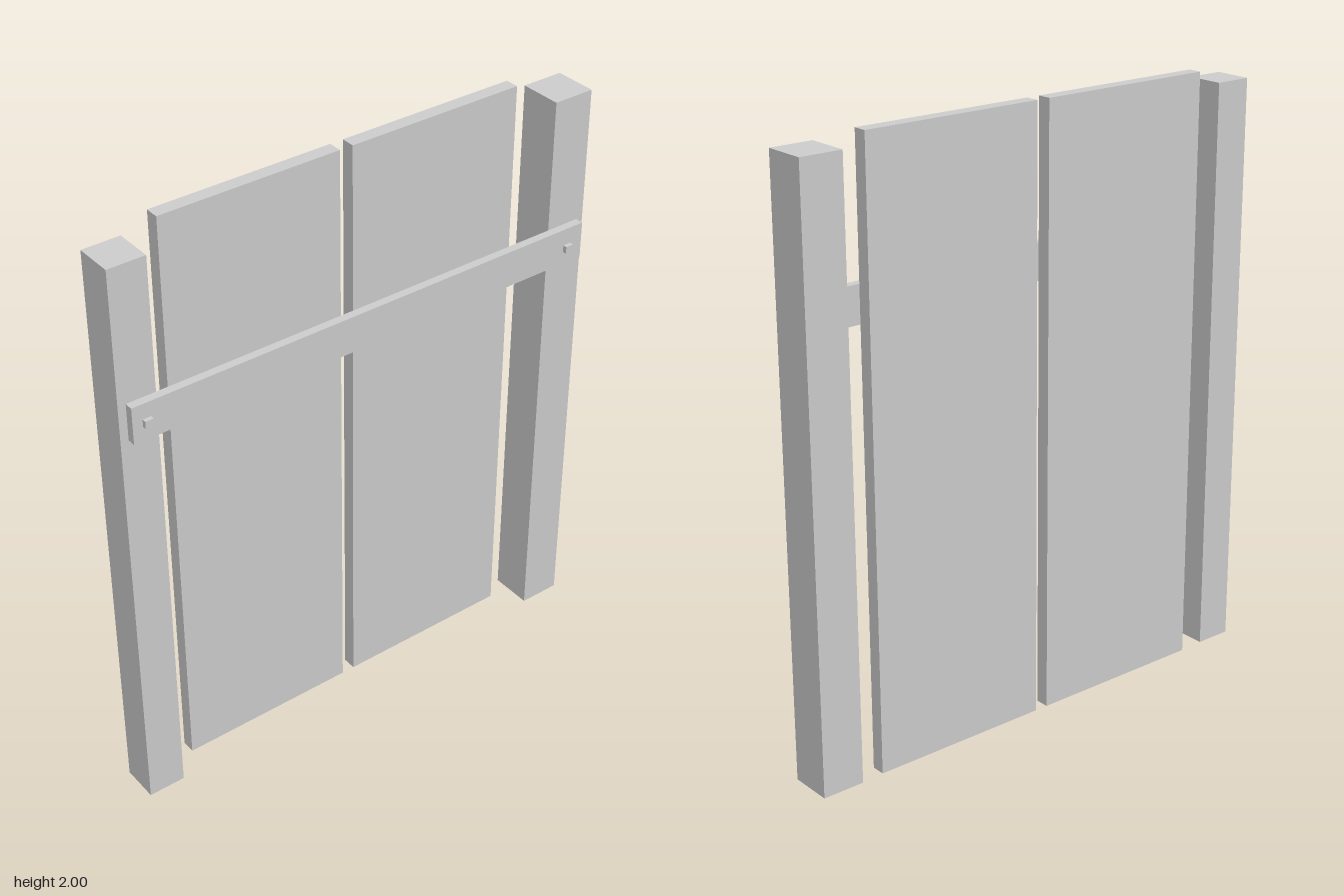
import * as THREE from 'three';

export function createModel() {
  const group = new THREE.Group();
  const material = new THREE.MeshStandardMaterial({ color: 0xcccccc, flatShading: true });

  // Box given by its extents along each axis
  function addBox(name, [x0, x1], [y0, y1], [z0, z1]) {
    const mesh = new THREE.Mesh(new THREE.BoxGeometry(x1 - x0, y1 - y0, z1 - z0), material);
    mesh.position.set((x0 + x1) / 2, (y0 + y1) / 2, (z0 + z1) / 2);
    mesh.name = name;
    group.add(mesh);
  }

  // Side posts, the rear one slightly thicker
  addBox('frontPost', [-0.086, 0.041], [0, 1.953], [0.728, 0.853]);
  addBox('backPost', [-0.095, 0.049], [0, 1.959], [-0.854, -0.712]);

  // Two door leaves with a narrow gap between them
  addBox('frontDoorLeaf', [-0.09, -0.044], [0, 2], [0.025, 0.639]);
  addBox('backDoorLeaf', [-0.09, -0.044], [0, 2], [-0.635, -0.02]);

  // Crossbar spanning the posts
  addBox('crossbar', [0.049, 0.077], [1.397, 1.52], [-0.829, 0.831]);

  // Square bolt heads at the ends of the crossbar
  for (const [name, y, z] of [['frontBolt', 1.457, 0.784], ['backBolt', 1.452, -0.769]]) {
    addBox(name, [0.07, 0.091], [y - 0.012, y + 0.012], [z - 0.014, z + 0.014]);
  }

  return group;
}
